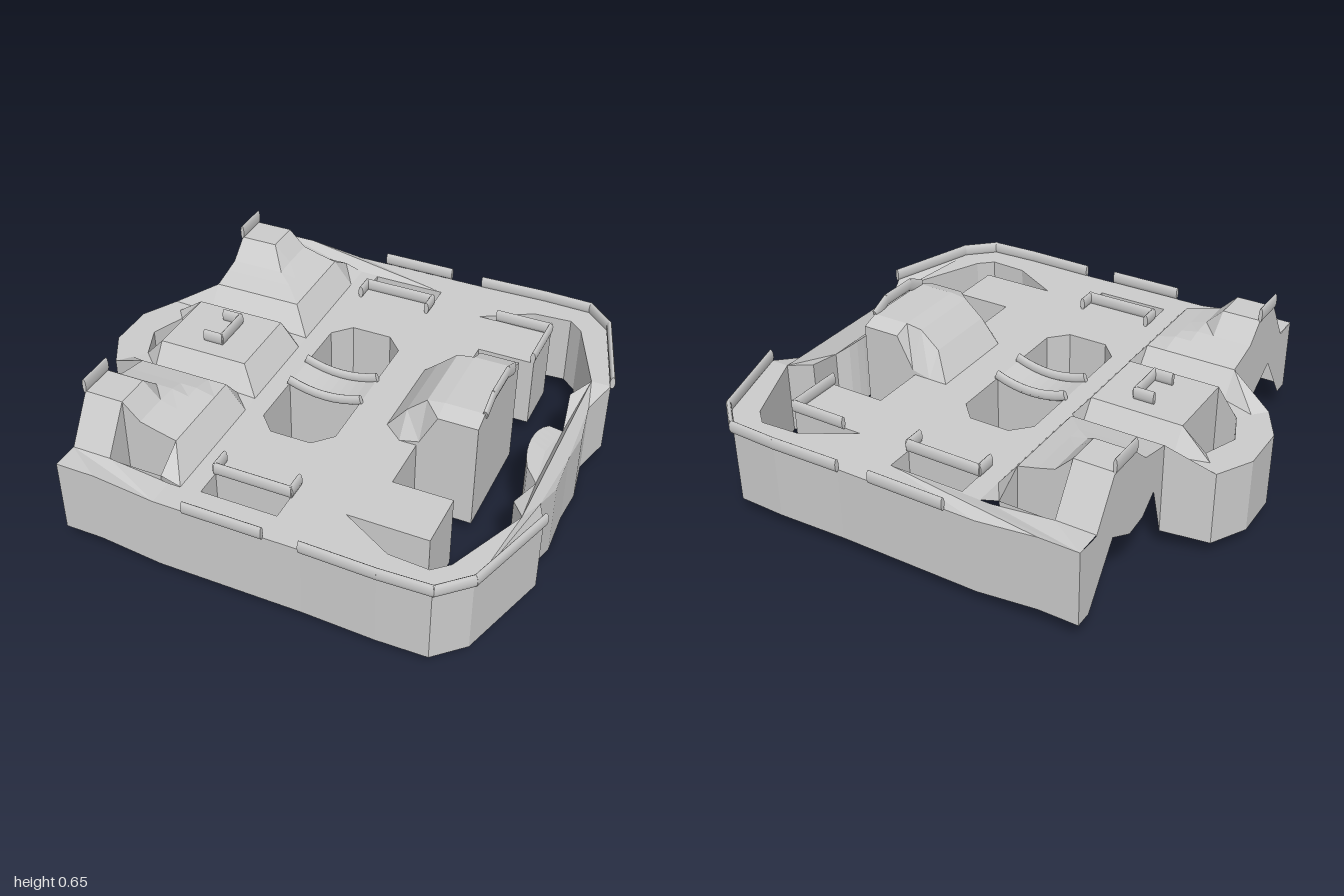
import * as THREE from 'three';

const mat = new THREE.MeshStandardMaterial({ color: 0xcccccc, side: THREE.DoubleSide, flatShading: true });
const railMat = new THREE.MeshStandardMaterial({ color: 0xcccccc });

// piecewise linear lookup
function lerpTable(table, v) {
  if (v <= table[0][0]) return table[0][1];
  for (let i = 1; i < table.length; i++) {
    const [a, ya] = table[i - 1], [b, yb] = table[i];
    if (v <= b) return ya + (yb - ya) * (v - a) / (b - a);
  }
  return table[table.length - 1][1];
}

// height of the deck: raised at the rear, dipping at the bumper and on the bridge
function deckY(x, z) {
  const az = Math.abs(z);
  let y = lerpTable([[-0.92, 0.38], [-0.74, 0.41], [-0.58, 0.41], [-0.33, 0.38]], x);
  if (x > 0.8) y += lerpTable([[0, -0.05], [0.17, -0.07], [0.44, 0]], az);
  if (x > -0.2 && x < 0.11 && az < 0.081) y -= 0.03 * (1 - ((x + 0.045) / 0.155) ** 2);
  return y;
}
const DEPTH = 0.31;
const onDeck = ([x, z]) => [x, deckY(x, z), z];
const mirror = (pts) => pts.map(([x, y, z]) => [x, y, -z]);
const mirror2 = (pts) => pts.map(([x, z]) => [x, -z]);

// flat-shaded sheet joining successive rows of points
function sheet(rows, keep = () => true) {
  const pos = [];
  for (let i = 0; i + 1 < rows.length; i++) {
    for (let j = 0; j + 1 < rows[i].length; j++) {
      if (!keep(i, j)) continue;
      const a = rows[i][j], b = rows[i + 1][j], c = rows[i + 1][j + 1], d = rows[i][j + 1];
      pos.push(...a, ...b, ...c, ...a, ...c, ...d);
    }
  }
  const g = new THREE.BufferGeometry();
  g.setAttribute('position', new THREE.Float32BufferAttribute(pos, 3));
  g.computeVertexNormals();
  return g;
}

export function createModel() {
  const root = new THREE.Group();
  const add = (name, geo) => {
    const m = new THREE.Mesh(geo, mat);
    m.name = name;
    root.add(m);
  };
  // vertical wall hanging from a line of points down to the lower edge
  const skirt = (name, pts) =>
    add(name, sheet([pts, pts.map(([x, y, z]) => [x, deckY(x, z) - DEPTH, z])]));
  // oval bar along a path, standing on edge
  const rail = (name, pts, h = 0.028, t = 0.011) => {
    const g = new THREE.Group();
    g.name = name;
    for (let i = 0; i + 1 < pts.length; i++) {
      const a = new THREE.Vector3(...pts[i]), b = new THREE.Vector3(...pts[i + 1]);
      const d = b.clone().sub(a), len = d.length();
      d.normalize();
      const side = new THREE.Vector3(-d.z, 0, d.x).normalize();
      const up = side.clone().cross(d);
      const m = new THREE.Mesh(new THREE.CylinderGeometry(1, 1, len + 0.008, 10), railMat);
      m.geometry.scale(t, 1, h);
      m.geometry.applyMatrix4(new THREE.Matrix4().makeBasis(side, d, up));
      m.position.copy(a.add(b).multiplyScalar(0.5));
      g.add(m);
    }
    root.add(g);
  };

  // deck outline and openings, given as [x, z]
  const sideEdge = [[-0.74, 0.92], [-0.58, 0.92], [-0.33, 0.92], [0.26, 0.92], [0.55, 0.93],
    [0.75, 0.925], [0.86, 0.82], [0.98, 0.44], [0.93, 0.31], [0.95, 0.17]];
  const outer = [...sideEdge, [0.945, 0], ...mirror2(sideEdge).reverse()];
  const rearEdge = [[-0.74, 0.81], [-0.58, 0.81], [-0.33, 0.81], [-0.28, 0.81]];
  const bumperIn = [[0.33, 0.69], [0.54, 0.81], [0.70, 0.82], [0.76, 0.765], [0.90, 0.44], [0.84, 0.35], [0.87, 0.17]];
  const bumper = [...bumperIn, [0.85, 0], ...mirror2(bumperIn).reverse()];
  const tab = [[0.33, 0.69], [0.65, 0.69], [0.65, 0.46], [0.41, 0.46], [0.41, 0.23], [0.26, 0.23]];
  const octSide = [[0.11, 0.08], [0.11, 0.31], [0.04, 0.385], [-0.13, 0.385], [-0.2, 0.31], [-0.2, 0.08]];
  const slot = [[-0.2, 0.69], [0.11, 0.69], [0.11, 0.80], [-0.2, 0.80]];

  const v2 = (pts) => pts.map(([x, z]) => new THREE.Vector2(x, z));
  const shape = new THREE.Shape(v2([...outer, ...mirror2(rearEdge), ...[...rearEdge].reverse()]));
  const frontHole = [...bumper, ...mirror2(tab).slice(1), ...[...tab].reverse().slice(0, -1)];
  const middleHole = [...octSide, ...mirror2(octSide).reverse()];
  for (const h of [frontHole, middleHole, slot, mirror2(slot)]) shape.holes.push(new THREE.Path(v2(h)));
  const deck = new THREE.ShapeGeometry(shape).toNonIndexed();
  const p = deck.attributes.position;
  for (let i = 0; i < p.count; i++) {
    const x = p.getX(i), z = p.getY(i);
    p.setXYZ(i, x, deckY(x, z), z);
  }
  deck.computeVertexNormals();
  add('deck', deck);
  skirt('outerWall', outer.map(onDeck));
  skirt('bumperInnerWall', bumper.map(onDeck));

  // sagging bridge between the two middle openings
  const bridgeX = Array.from({ length: 9 }, (_, i) => -0.2 + 0.31 * i / 8);
  const bridgeEdge = (z) => bridgeX.map((x) => onDeck([x, z]));
  add('bridge', sheet([bridgeEdge(-0.08), bridgeEdge(0.08)]));

  // raised rear bodies with a tower on each side and a low hump in the middle
  const xs = [-0.74, -0.58, -0.51, -0.44, -0.36, -0.28];
  const hx = [0.59, 0.59, 0.52, 0.5, 0.48, 0.38];
  const half = [[0.16, 0.48], [0.23, 0.385], [0.31, 0.48], [0.40, 0.5], [0.46, 0.515], [0.545, 0.59], [0.69, 0.59], [0.81, 0.405]];
  const zs = [...mirror2(half.map(([z, h]) => [h, z])).map(([h, z]) => [z, h]).reverse(), ...half];
  const mound = zs.map(([z, h]) => xs.map((x, j) => [x, Math.min(hx[j], h), z]));
  add('rearBody', sheet(mound, (i, j) => !((i === 0 || i === zs.length - 2) && j > 0 && j < 4)));

  // front block
  const bx = [0.26, 0.34, 0.42, 0.49, 0.65];
  const top = [0.38, 0.48, 0.55, 0.56, 0.56], low = [0.38, 0.38, 0.4, 0.535, 0.535];
  const row = (z, ys) => bx.map((x, i) => [x, ys[i], z]);
  const block = [row(-0.23, low), row(-0.16, top), row(0.16, top), row(0.23, low)];
  add('frontBlock', sheet(block));
  skirt('frontBlockEnd', block.map((r) => r[4]));

  // rear loop
  const loopOut = [[-0.74, 0.48, 0.31], [-0.92, 0.38, 0.245], [-1, 0.38, 0.1]];
  const loopMid = [[-0.74, 0.385, 0.23], [-0.87, 0.38, 0.19], [-0.94, 0.38, 0.05]];
  const loopIn = [[-0.74, 0.48, 0.16], [-0.83, 0.38, 0.14], [-0.885, 0.38, 0]];
  const loop = [loopOut, loopMid, loopIn].map((l) => [...l, ...mirror(l).reverse()]);
  add('rearLoopTop', sheet(loop));
  skirt('rearLoopOuterWall', loop[0]);
  skirt('rearLoopInnerWall', [...loop[2], loop[2][0]]);

  // curved lip behind the bumper
  const lipTop = [], lipBase = [];
  for (let i = 0; i <= 10; i++) {
    const z = -0.17 + 0.034 * i, c = Math.sqrt(Math.max(0, 1 - (z / 0.17) ** 2));
    const x = 0.87 - 0.02 * (1 - Math.abs(z) / 0.17);
    lipBase.push([x, deckY(x, z), z]);
    lipTop.push([0.87 - 0.08 * c, 0.31 + 0.06 * c, z]);
  }
  add('bumperLip', sheet([lipBase, lipTop]));
  skirt('bumperLipWall', lipTop);

  // parts repeated on both sides
  for (const s of [1, -1]) {
    const m = (pts) => pts.map(([x, y, z]) => [x, y, z * s]);
    skirt('frontOpeningWall', m(tab.slice(0, 5).map(onDeck)));
    skirt('frontBlockSide', m(block[3]));
    skirt('octagonWall', m([...octSide.map(onDeck), ...bridgeEdge(0.08)]));
    skirt('slotWall', m([...slot, slot[0]].map(onDeck)));
    skirt('rearOpeningWall', m([[-0.58, 0.405, 0.81], [-0.58, 0.59, 0.69], [-0.51, 0.52, 0.69], [-0.44, 0.5, 0.69],
      [-0.36, 0.48, 0.69], [-0.36, 0.405, 0.81], [-0.58, 0.405, 0.81]]));
    // notched rear end
    const endTop = [[0.92, 0.41], [0.81, 0.405], [0.69, 0.59], [0.545, 0.59], [0.46, 0.515], [0.40, 0.5], [0.31, 0.48]];
    const endLow = [[0.92, 0.1], [0.85, 0.1], [0.69, 0.32], [0.56, 0.25], [0.46, 0.26], [0.38, 0.32], [0.31, 0.1]];
    add('rearEnd', sheet([endTop, endLow].map((l) => m(l.map(([z, y]) => [-0.74, y, z])))));

    rail('cornerRail', m([[0.26, 0.4, 0.925], [0.55, 0.4, 0.932], [0.755, 0.4, 0.925], [0.865, 0.4, 0.82], [0.985, 0.4, 0.44]]));
    rail('sideRail', m([[-0.2, 0.405, 0.925], [0.11, 0.405, 0.925]]));
    rail('slotRail', m([[-0.2, 0.405, 0.62], [-0.2, 0.405, 0.69], [0.11, 0.405, 0.69], [0.11, 0.405, 0.62]]));
    rail('towerRail', m([[-0.74, 0.615, 0.545], [-0.74, 0.615, 0.69]]), 0.032, 0.008);
    rail('bridgeRail', m(bridgeEdge(0.08).map(([x, y, z]) => [x, y + 0.015, z])), 0.022);
  }

  // single rails
  rail('tabRail', [[0.41, 0.405, -0.695], [0.645, 0.405, -0.695], [0.645, 0.405, -0.46]]);
  rail('blockRail', [[0.65, 0.555, 0.155], [0.65, 0.59, 0.08], [0.65, 0.59, -0.08], [0.65, 0.555, -0.155]], 0.027, 0.01);
  rail('humpRail', [[-0.58, 0.505, 0.08], [-0.505, 0.505, 0.08], [-0.505, 0.505, -0.08], [-0.58, 0.505, -0.08]]);

  return root;
}
